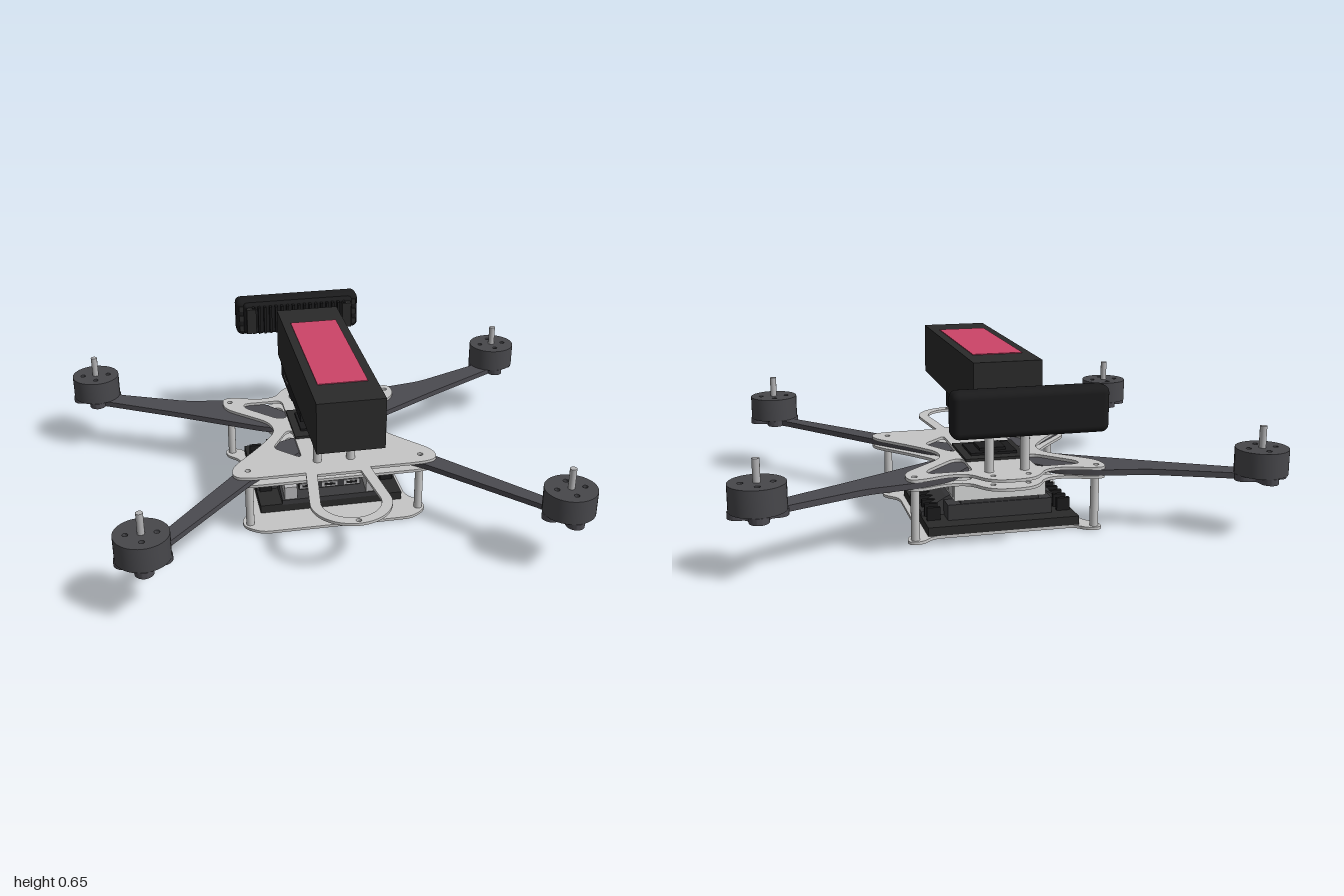
import * as THREE from 'three';
import { toCreasedNormals } from 'three/addons/utils/BufferGeometryUtils.js';
import { RoundedBoxGeometry } from 'three/addons/geometries/RoundedBoxGeometry.js';

const mat = (name, color) => new THREE.MeshStandardMaterial({ name, color });

// Closed shape whose corners are rounded off by up to r
function rounded(pts, r) {
  const s = new THREE.Shape();
  const v = pts.map(p => new THREE.Vector2(p[0], p[1]));
  v.forEach((p, i) => {
    const a = v[(i + v.length - 1) % v.length], b = v[(i + 1) % v.length];
    const toward = q => p.clone().lerp(q, Math.min(0.48, r / p.distanceTo(q)));
    const start = toward(a), end = toward(b);
    if (i) s.lineTo(start.x, start.y); else s.moveTo(start.x, start.y);
    s.quadraticCurveTo(p.x, p.y, end.x, end.y);
  });
  s.closePath();
  return s;
}
const mirrorPts = pts => pts.map(([x, z]) => [-x, z]);
const bothHalves = pts => [...pts, ...mirrorPts(pts).reverse()];
const hole = (x, z, r) => new THREE.Path().absarc(x, z, r, 0, Math.PI * 2, true);

// Horizontal sheet from an (x, z) outline, with its top at y = top
function sheet(shape, top, depth, curveSegments = 8) {
  const g = new THREE.ExtrudeGeometry(shape, { depth, bevelEnabled: false, curveSegments });
  g.rotateX(Math.PI / 2).translate(0, top, 0);
  return toCreasedNormals(g, 0.6);
}
// Side profile of (z, y) points extended from x0 to x1
function profile(pts, x0, x1) {
  const s = new THREE.Shape(pts.map(([z, y]) => new THREE.Vector2(-z, y)));
  const g = new THREE.ExtrudeGeometry(s, { depth: x1 - x0, bevelEnabled: false });
  return g.rotateY(Math.PI / 2).translate(x0, 0, 0);
}

export function createModel() {
  const root = new THREE.Group();
  root.name = 'quadcopter';
  const light = mat('light plate grey', 0xc6c6c6);
  const silver = mat('silver', 0xb4b4b6);
  const white = mat('pale housing', 0xd8d9d9);
  const carbon = mat('carbon grey', 0x4b4a50);
  const motorGrey = mat('motor grey', 0x47474b);
  const black = mat('battery black', 0x2a2a2a);
  const deep = mat('deep black', 0x1b1b1c);
  const board = mat('computer grey', 0x38383a);
  const pink = mat('pink label', 0xcc4468);

  const add = (name, geo, material, parent = root) => {
    const m = new THREE.Mesh(geo, material);
    m.name = name;
    parent.add(m);
    return m;
  };
  const box = (name, material, x0, x1, y0, y1, z0, z1) =>
    add(name, new THREE.BoxGeometry(x1 - x0, y1 - y0, z1 - z0), material)
      .position.set((x0 + x1) / 2, (y0 + y1) / 2, (z0 + z1) / 2);
  const post = (name, x, z, y0, y1, r, material = light) =>
    add(name, new THREE.CylinderGeometry(r, r, y1 - y0, 20), material).position.set(x, (y0 + y1) / 2, z);

  // Pair of waisted frame plates clamping the arms
  const framePts = bothHalves([
    [0.05, -0.55], [0.1, -0.52], [0.14, -0.45], [0.22, -0.44], [0.31, -0.475], [0.37, -0.475],
    [0.37, -0.38], [0.2, -0.22], [0.19, -0.13], [0.27, -0.02], [0.4, 0.13], [0.4, 0.2], [0.34, 0.22], [0.12, 0.22],
  ]);
  const frameShape = () => {
    const s = rounded(framePts, 0.05);
    for (const k of [-1, 1]) {
      s.holes.push(hole(k * 0.34, -0.435, 0.011), hole(k * 0.34, 0.16, 0.011), hole(k * 0.065, -0.49, 0.01));
      s.holes.push(rounded([[k * 0.12, -0.41], [k * 0.285, -0.41], [k * 0.285, -0.37], [k * 0.16, -0.245], [k * 0.12, -0.25]], 0.03));
      s.holes.push(rounded([[k * 0.12, -0.13], [k * 0.145, -0.13], [k * 0.22, 0.0], [k * 0.12, 0.1]], 0.03));
    }
    return s;
  };
  add('upperFramePlate', sheet(frameShape(), 0.251, 0.011), light);
  add('lowerFramePlate', sheet(frameShape(), 0.218, 0.011), light);

  // Front loop on the upper plate
  const loop = new THREE.Shape();
  loop.moveTo(0.125, 0.21).lineTo(0.152, 0.45).absarc(0, 0.45, 0.152, 0, Math.PI, false).lineTo(-0.125, 0.21);
  const loopHole = new THREE.Path();
  loopHole.moveTo(0.085, 0.24).lineTo(0.112, 0.45).absarc(0, 0.45, 0.112, 0, Math.PI, false).lineTo(-0.085, 0.24);
  loop.holes.push(loopHole, hole(0, 0.582, 0.01));
  add('frontLoop', sheet(loop, 0.251, 0.011, 24), light);

  // Arms, motor mounts and motors
  const backArm = [[0.9, -0.69], [0.8, -0.625], [0.52, -0.507], [0.33, -0.475], [0.2, -0.42], [0.1, -0.3],
    [0.12, -0.17], [0.22, -0.2], [0.56, -0.4], [0.92, -0.6]];
  const frontArm = [[0.72, 0.67], [0.69, 0.6], [0.33, 0.21], [0.1, 0.02], [0.09, -0.1], [0.2, -0.06],
    [0.4, 0.165], [0.73, 0.56], [0.8, 0.63]];
  const makeRotor = (name, x, z) => {
    const g = new THREE.Group();
    g.name = name;
    g.position.set(x, 0, z);
    root.add(g);
    // Four-lobed mount with screw holes
    const lobes = [];
    for (let i = 0; i < 16; i++) {
      const r = [0.106, 0.09, 0.046, 0.09][i % 4], a = i * Math.PI / 8;
      lobes.push([r * Math.cos(a), r * Math.sin(a)]);
    }
    const mount = rounded(lobes, 0.025);
    const bell = new THREE.Shape().absarc(0, 0, 0.097, 0, Math.PI * 2, false);
    for (let i = 0; i < 4; i++) {
      const a = i * Math.PI / 2, hx = 0.053 * Math.cos(a), hz = 0.053 * Math.sin(a);
      mount.holes.push(hole(hx, hz, 0.01));
      bell.holes.push(hole(hx, hz, 0.01));
    }
    add('motorMount', sheet(mount, 0.241, 0.023), carbon, g);
    add('motorBell', sheet(bell, 0.334, 0.093, 20), motorGrey, g);
    add('motorShaft', new THREE.CylinderGeometry(0.013, 0.013, 0.1, 16), silver, g).position.y = 0.365;
  };
  for (const k of [1, -1]) {
    const side = k > 0 ? 'left' : 'right';
    const flip = pts => (k > 0 ? pts : mirrorPts(pts));
    add(side + 'BackArm', sheet(rounded(flip(backArm), 0.04), 0.24, 0.022), carbon);
    add(side + 'FrontArm', sheet(rounded(flip(frontArm), 0.04), 0.2395, 0.021), carbon);
    makeRotor(side + 'BackMotor', k * 0.895, -0.645);
    makeRotor(side + 'FrontMotor', k * 0.76, 0.648);
    // Standoffs
    for (const z of [0.162, -0.43]) post('lowerStandoff', k * 0.338, z, 0.01, 0.21, 0.016);
    for (const z of [0.135, -0.435]) post('upperStandoff', k * 0.066, z, 0.25, 0.448, 0.017);
  }

  // Bottom plate with corner lugs
  const base = rounded(bothHalves([[0.27, -0.41], [0.31, -0.455], [0.365, -0.455], [0.365, -0.4], [0.31, -0.35],
    [0.31, 0.07], [0.365, 0.12], [0.365, 0.18], [0.3, 0.23]]), 0.035);
  add('bottomPlate', sheet(base, 0.013, 0.011), light);

  // Battery tray and battery
  const tray = rounded(bothHalves([[0.07, -0.51], [0.1, -0.47], [0.1, 0.27], [0.06, 0.32]]), 0.04);
  for (const k of [-1, 1]) tray.holes.push(hole(k * 0.065, -0.487, 0.01));
  add('batteryTray', sheet(tray, 0.454, 0.009), light);
  box('battery', black, -0.126, 0.126, 0.454, 0.652, -0.443, 0.443);
  box('batteryLabel', pink, -0.093, 0.093, 0.651, 0.655, -0.295, 0.292);

  // Receiver slung under the tray
  box('receiverFront', deep, -0.118, 0.118, 0.387, 0.444, -0.15, 0.06);
  box('receiverBack', deep, -0.118, 0.118, 0.376, 0.436, -0.408, -0.15);
  for (let i = 0; i < 3; i++) for (const k of [-1, 1])
    box('receiverPort', silver, k * 0.118 - 0.002, k * 0.118 + 0.002, 0.402, 0.412, -0.33 + i * 0.03, -0.31 + i * 0.03);

  // Flight controller on the upper plate
  box('controllerBoard', black, -0.12, 0.12, 0.251, 0.261, -0.295, -0.055);
  box('controllerCase', deep, -0.09, 0.09, 0.261, 0.27, -0.25, -0.1);
  box('controllerChip', deep, -0.05, 0.05, 0.27, 0.281, -0.225, -0.125);

  // Onboard computer between the lower plates
  box('computerBase', black, -0.287, 0.287, 0.013, 0.046, -0.41, 0.095);
  add('computerBody', profile([[0.1, 0.045], [0.1, 0.065], [-0.05, 0.1], [-0.345, 0.105], [-0.345, 0.045]], -0.2, 0.2), board);
  for (const k of [-1, 1]) {
    const wing = new THREE.Shape([[0.12, 0.045], [0.285, 0.045], [0.285, 0.06], [0.19, 0.115], [0.12, 0.14]]
      .map(([x, y]) => new THREE.Vector2(k * x, y)));
    const g = new THREE.ExtrudeGeometry(wing, { depth: 0.24, bevelEnabled: false });
    add('computerShoulder', g.translate(0, 0, -0.27), board);
    add('sideConnector', profile([[0.097, 0.06], [0.097, 0.12], [0.05, 0.138], [-0.035, 0.115], [-0.035, 0.09]],
      k * 0.165 - 0.025, k * 0.165 + 0.025), silver);
    for (let i = 0; i < 7; i++) {
      const z = -0.33 + i * 0.05;
      box('coolingFin', deep, k * 0.25 - 0.025, k * 0.25 + 0.025, 0.046, 0.095, z, z + 0.016);
    }
  }
  box('portHousing', board, -0.125, 0.125, 0.05, 0.135, -0.12, 0.05);
  for (let i = 0; i < 3; i++) for (let j = 0; j < 2; j++) {
    const x = -0.09 + i * 0.09, y = 0.083 + j * 0.027;
    box('portFace', silver, x - 0.032, x + 0.032, y, y + 0.02, 0.05, 0.054);
    box('portOpening', deep, x - 0.022, x + 0.022, y + 0.005, y + 0.014, 0.054, 0.056);
  }
  box('coolerHousing', white, -0.175, 0.175, 0.118, 0.207, -0.345, -0.14);
  box('coolerFoot', board, -0.15, 0.15, 0.1, 0.12, -0.34, -0.145);
  for (const k of [-1, 1]) for (const z of [-0.29, -0.2])
    box('coolerVent', silver, k * 0.175 - 0.003, k * 0.175 + 0.003, 0.13, 0.185, z - 0.035, z + 0.035);

  // Depth camera behind the frame, with ribs toward the front
  add('cameraBody', new RoundedBoxGeometry(0.54, 0.16, 0.085, 3, 0.025), deep).position.set(0, 0.535, -0.713);
  add('cameraInset', new RoundedBoxGeometry(0.48, 0.14, 0.05, 2, 0.015), deep).position.set(0, 0.535, -0.675);
  for (let i = 0; i < 17; i++) {
    const x = -0.2 + i * 0.025;
    box('cameraRib', deep, x - 0.005, x + 0.005, 0.475, 0.595, -0.66, -0.63);
  }
  for (const k of [-1, 1]) {
    box('cameraFoot', black, k * 0.21 - 0.02, k * 0.21 + 0.02, 0.48, 0.59, -0.66, -0.625);
    for (const y of [0.49, 0.535, 0.58])
      box('cameraSlot', black, k * 0.247 - 0.012, k * 0.247 + 0.012, y - 0.012, y + 0.012, -0.672, -0.666);
  }
  return root;
}
